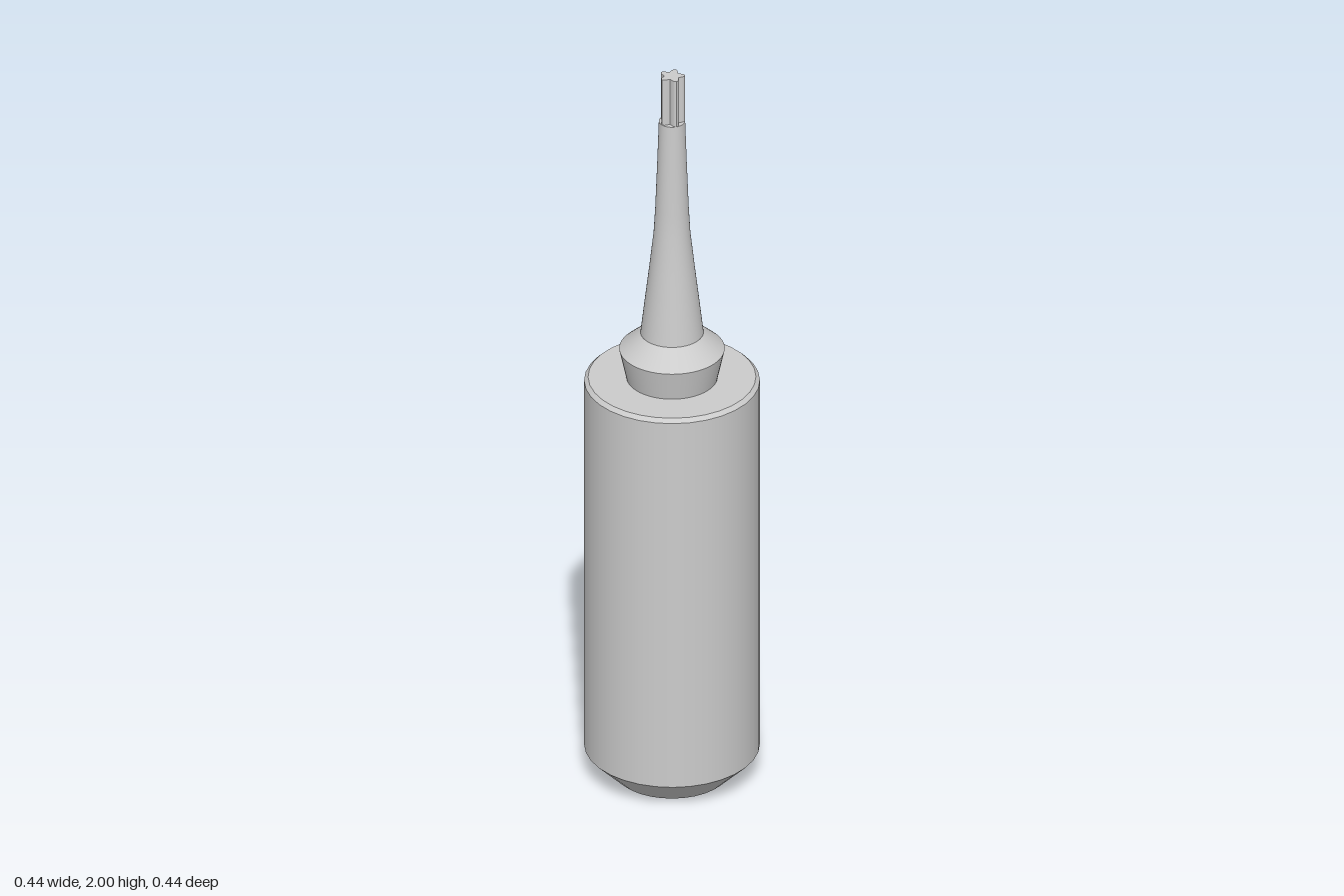
import * as THREE from 'three';

const material = new THREE.MeshStandardMaterial({ color: 0xcccccc });

// Each profile is a list of [radius, y] from bottom to top; every segment gets
// its own lathe so that edges between segments stay sharp.
function turned(name, profile, sides) {
  const group = new THREE.Group();
  group.name = name;
  for (let i = 0; i < profile.length - 1; i++) {
    const pts = [profile[i], profile[i + 1]].map(([r, y]) => new THREE.Vector2(r, y));
    const mesh = new THREE.Mesh(new THREE.LatheGeometry(pts, sides), material);
    mesh.name = `${name}Band${i + 1}`;
    group.add(mesh);
  }
  return group;
}

export function createModel() {
  const model = new THREE.Group();
  model.name = 'screwdriverBit';

  // Thick grip with a wide lower bevel and a narrow upper chamfer
  model.add(turned('handle', [
    [0, 0], [0.145, 0], [0.22, 0.075], [0.22, 1.123], [0.21, 1.133], [0, 1.133],
  ], 32));

  // Flared collar
  model.add(turned('collar', [
    [0.114, 1.133], [0.132, 1.215], [0.079, 1.262], [0, 1.262],
  ], 64));

  // Tapering shank, smooth along its length
  const taper = [[0.079, 1.262], [0.07, 1.34], [0.057, 1.45], [0.046, 1.55],
    [0.042, 1.62], [0.037, 1.75], [0.033, 1.87]];
  const shank = new THREE.Mesh(
    new THREE.LatheGeometry(taper.map(([r, y]) => new THREE.Vector2(r, y)), 48), material);
  shank.name = 'shank';
  model.add(shank);
  model.add(turned('shankEnd', [[0.033, 1.87], [0, 1.87]], 48));

  // Five-lobed driving tip
  const star = new THREE.Shape();
  const lobes = 5, steps = 60;
  for (let i = 0; i < steps; i++) {
    const a = (i / steps) * Math.PI * 2;
    const r = 0.026 + 0.0065 * Math.cos(lobes * (a - Math.PI));
    star[i ? 'lineTo' : 'moveTo'](r * Math.cos(a), r * Math.sin(a));
  }
  star.closePath();
  const tip = new THREE.Mesh(
    new THREE.ExtrudeGeometry(star, { depth: 0.13, bevelEnabled: false }), material);
  tip.name = 'lobedTip';
  tip.rotation.x = -Math.PI / 2;
  tip.position.y = 1.87;
  model.add(tip);

  return model;
}
